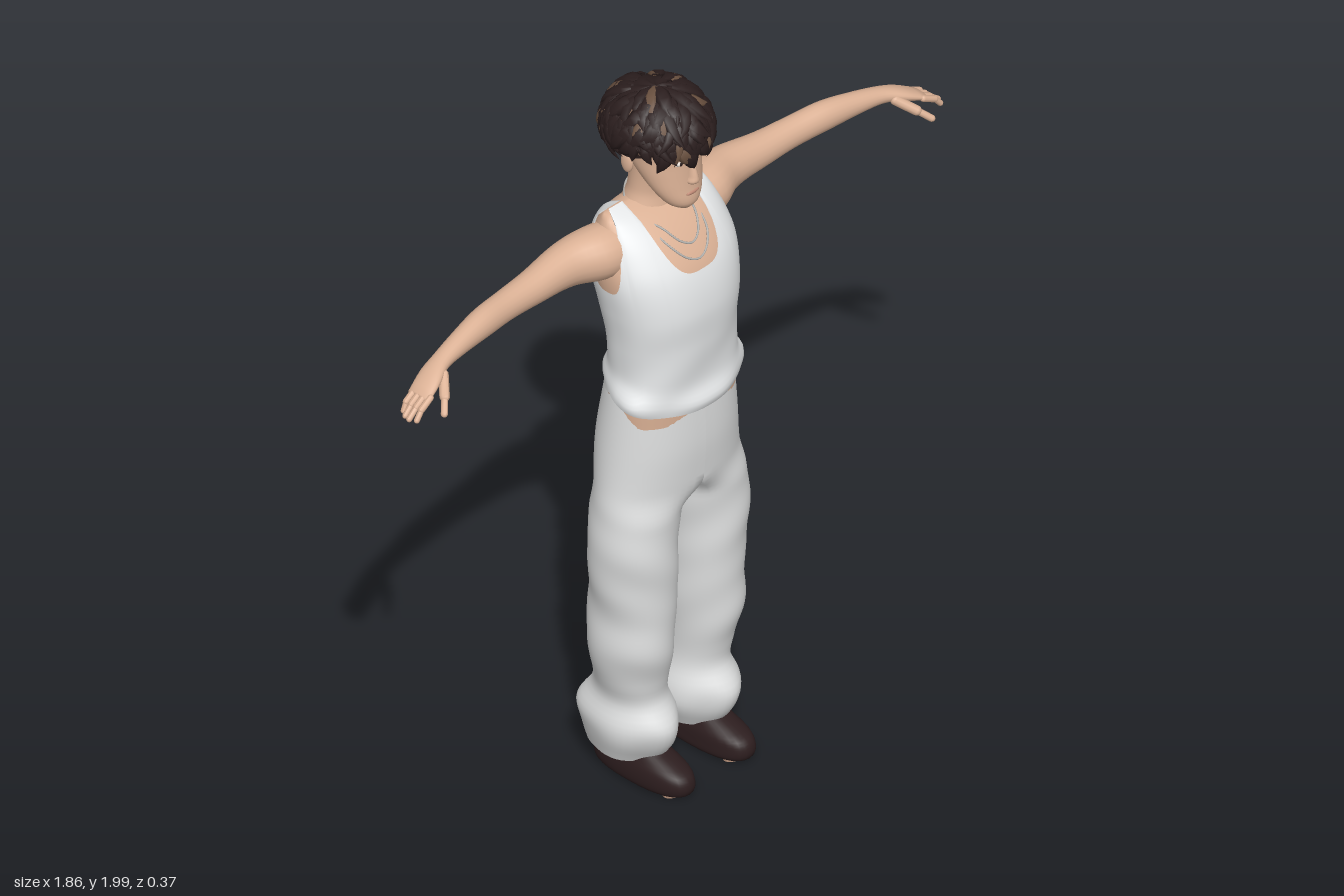
import * as THREE from 'three';
import { mergeGeometries } from 'three/addons/utils/BufferGeometryUtils.js';

const mat = (name, color, side = THREE.FrontSide) =>
  Object.assign(new THREE.MeshStandardMaterial({ color, side }), { name });
const { sin, cos, PI, abs, sign, exp, min, max } = Math;
const { smoothstep, lerp } = THREE.MathUtils;
const V = (x, y, z) => new THREE.Vector3(x, y, z);
const range = (n, f) => Array.from({ length: n }, (_, i) => f(i));

// Smoothly interpolated row of a table whose first column is the position
function at(rows, v) {
  let i = 0;
  while (i < rows.length - 2 && rows[i + 1][0] < v) i++;
  const a = rows[i], b = rows[i + 1], h = b[0] - a[0];
  const t = min(1, max(0, (v - a[0]) / h));
  const slope = (j, c) => {
    const p = rows[max(0, j - 1)], q = rows[min(rows.length - 1, j + 1)];
    return (q[c] - p[c]) / (q[0] - p[0]) * h;
  };
  return a.slice(1).map((_, k) => {
    const c = k + 1, t2 = t * t, t3 = t2 * t;
    return a[c] * (2 * t3 - 3 * t2 + 1) + b[c] * (3 * t2 - 2 * t3) +
      slope(i, c) * (t3 - 2 * t2 + t) + slope(i + 1, c) * (t3 - t2);
  });
}

// Skin closed rings of points, listed in ascending order
function loft(rings, { bottom = false, top = false, skip = () => false } = {}) {
  const flat = r => {
    const c = r.reduce((s, p) => s.add(p), V(0, 0, 0)).divideScalar(r.length);
    return r.map(() => c);
  };
  if (bottom) rings = [flat(rings[0]), ...rings];
  if (top) rings = [...rings, flat(rings[rings.length - 1])];
  const n = rings[0].length, index = [];
  for (let i = 0; i < rings.length - 1; i++) for (let j = 0; j < n; j++) {
    if (skip(i, j)) continue;
    const k = (j + 1) % n, a = i * n + j, b = i * n + k, c = a + n, d = b + n;
    index.push(a, c, b, b, c, d);
  }
  const g = new THREE.BufferGeometry().setFromPoints(rings.flat());
  g.setIndex(index);
  g.computeVertexNormals();
  return g;
}

const pw = (c, e) => sign(c) * abs(c) ** e;
// Upright form from rows of [y, xMin, xMax, zBack, zFront]
function column(rows, { steps = 24, sides = 32, e = 1, ...caps } = {}) {
  const y0 = rows[0][0], y1 = rows[rows.length - 1][0];
  return loft(range(steps + 1, i => {
    const y = lerp(y0, y1, i / steps), [xa, xb, zb, zf] = at(rows, y);
    return range(sides, j => {
      const t = j / sides * 2 * PI;
      return V((xa + xb) / 2 + (xb - xa) / 2 * pw(cos(t), e), y, (zb + zf) / 2 + (zf - zb) / 2 * pw(sin(t), e));
    });
  }), caps);
}
const sym = rows => rows.map(([y, r, zb, zf]) => [y, -r, r, zb, zf]);
const bare = g => { g.deleteAttribute('uv'); return g; };
function mirror(g) {
  const m = g.clone().scale(-1, 1, 1), ix = m.index.array;
  for (let i = 0; i < ix.length; i += 3) [ix[i], ix[i + 1]] = [ix[i + 1], ix[i]];
  m.computeVertexNormals();
  return m;
}
const blob = (x, y, z, a, b, c) => bare(new THREE.SphereGeometry(1, 14, 10).scale(a, b, c).translate(x, y, z));
function rod(a, b, r) {
  const d = b.clone().sub(a), g = bare(new THREE.CapsuleGeometry(r, d.length(), 4, 10));
  g.applyQuaternion(new THREE.Quaternion().setFromUnitVectors(V(0, 1, 0), d.normalize()));
  return g.translate((a.x + b.x) / 2, (a.y + b.y) / 2, (a.z + b.z) / 2);
}

// Torso surface: [y, half width, back, front]
const TORSO = [[1.08, .188, -.09, .138], [1.14, .19, -.094, .141], [1.2, .177, -.095, .141], [1.3, .178, -.108, .146],
  [1.4, .19, -.13, .15], [1.5, .2, -.152, .128], [1.57, .19, -.15, .085], [1.62, .176, -.13, .035],
  [1.65, .165, -.095, -.015], [1.662, .158, -.063, -.057]];
function torsoPoint(t, y, off) {
  const [r, zb, zf] = at(TORSO, y);
  return V((r + off) * pw(cos(t), .85), y, (zb + zf) / 2 + ((zf - zb) / 2 + off) * pw(sin(t), .9));
}

function shirtGeometry() {
  const N = 144, M = 36;
  return loft(range(M + 1, i => range(N, j => {
    const t = j / N * 2 * PI, s = sin(t), side = Math.asin(min(1, abs(s))), mid = PI / 2 - side;
    const hem = 1.145 - .035 * s;
    // Neck scoop, strap and armhole set the top edge
    const neck = s > 0 ? 1.505 + .157 * (mid / .56) ** 3 : 1.53 + .132 * (mid / .56) ** 5;
    const arm = 1.47 + .192 * (side / .5) ** 3;
    const y = lerp(hem, min(1.662, neck, arm), i / M);
    const flare = (.011 + .005 * sin(5 * t)) * exp(-(((y - hem - .02) / .028) ** 2));
    return torsoPoint(t, y, flare + .002 * sin(4 * t + y * 30) * smoothstep(1.4 - y, 0, .2));
  })));
}

// One trouser leg with its half of the hips
const LEG = [[.07, .03, .185, -.135, .075], [.13, .005, .205, -.15, .112], [.18, .008, .208, -.163, .122],
  [.24, .025, .19, -.122, .086], [.3, .03, .2, -.11, .092], [.4, .022, .224, -.11, .112], [.5, .018, .218, -.115, .115],
  [.6, .015, .228, -.105, .118], [.7, .012, .236, -.1, .12], [.8, .004, .225, -.107, .12], [.9, 0, .211, -.127, .13],
  [1, 0, .2, -.132, .136], [1.15, 0, .184, -.11, .13]];
function legGeometry() {
  const M = 72, A = 31, N = 44, yAt = i => lerp(.07, 1.15, i / M);
  return loft(range(M + 1, i => {
    const y = yAt(i), [xa, xb, zb, zf] = at(LEG, y), w = smoothstep(y, .79, .88);
    const cx = (xa + xb) / 2, cz = (zb + zf) / 2, rx = (xb - xa) / 2, rz = (zf - zb) / 2;
    return range(N, j => {
      const outer = j <= A, k = outer ? j / A : (j - A) / (N - A);
      const t = outer ? lerp(-2.2, 2.2, k) : lerp(2.2, 2 * PI - 2.2, k), p = lerp(-PI / 2, PI / 2, k);
      const f = 1 + .014 * sin(3 * t + y * 24) + .01 * sin(y * 45 + 2 * t) + .03 * sin(5 * t) * (1 - smoothstep(y, .12, .26));
      const x = max(.002, cx + rx * f * cos(t)), z = cz + rz * f * sin(t);
      const dx = outer ? xb * pw(max(0, cos(p)), .85) : 0, dz = outer ? cz + rz * sin(p) : lerp(zf, zb, k);
      return V(lerp(x, dx, w), y, lerp(z, dz, w));
    });
  }), { skip: (i, j) => j >= A && yAt(i) > .87 });
}

// Arm rows: [x, centre y, centre z, half height, half depth]
const ARM = [[.12, 1.555, -.045, .07, .07], [.2, 1.56, -.055, .068, .073], [.28, 1.56, -.073, .058, .055],
  [.4, 1.557, -.068, .045, .043], [.5, 1.56, -.06, .04, .037], [.6, 1.565, -.045, .039, .035], [.7, 1.56, -.03, .029, .029],
  [.77, 1.552, -.018, .021, .027], [.82, 1.538, -.004, .018, .035], [.875, 1.515, .01, .011, .035]];
function armGeometry() {
  const arm = loft(range(41, i => {
    const x = lerp(.12, .875, i / 40), [y, z, ry, rz] = at(ARM, x);
    return range(20, j => V(x, y + ry * cos(j / 10 * PI), z - rz * sin(j / 10 * PI)));
  }), { top: true });
  const fingers = range(4, i => {
    const z = -.014 + i * .017, tip = [.908, .92, .924, .915][i];
    const a = V(.862, 1.52, z), b = V(.897, 1.503, z + .004), c = V(tip, 1.482, z + .006);
    return [rod(a, b, .0088), rod(b, c, .0075)];
  }).flat();
  const thumb = [rod(V(.79, 1.54, .012), V(.825, 1.51, .05), .013), rod(V(.825, 1.51, .05), V(.852, 1.485, .075), .009)];
  return mergeGeometries([arm, ...fingers, ...thumb]);
}

// Hair: a cap over the skull and curved, tapering locks
const hairPoint = (a, p, r) => V(-.005 + .12 * r * sin(p) * cos(a), 1.866 + .11 * r * cos(p), -.027 + .138 * r * sin(p) * sin(a));
const hairEdge = a => sin(a) > 0 ? lerp(1.95, 1.55, sin(a)) : lerp(1.95, 2.5, -sin(a));
function hairGeometries() {
  let seed = 11;
  const rnd = () => (seed = (seed * 16807) % 2147483647) / 2147483647;
  const cap = loft(range(15, i => range(40, j => {
    const a = j / 20 * PI;
    return hairPoint(a, hairEdge(a) * (1 - i / 14), 1 + .02 * sin(7 * a + i));
  })));
  const lock = n => {
    const a = n * 2.39996, front = max(0, sin(a)), edge = hairEdge(a);
    const end = edge * lerp(.5, 1, rnd()) + rnd() * (.18 + .55 * front), len = .5 + .5 * rnd();
    const curl = (rnd() - .5) * .9, lift = .02 + .1 * rnd() * rnd() + .12 * front * rnd(), w = .012 + .012 * rnd();
    const pts = range(6, k => {
      const t = k / 5;
      return hairPoint(a + curl * t * t, max(.03, end - len * (1 - t)), 1.01 + .04 * sin(t * PI) + lift * t * t);
    });
    return loft(pts.map((c, k) => {
      const dir = pts[min(5, k + 1)].clone().sub(pts[max(0, k - 1)]).normalize();
      const out = c.clone().sub(V(0, 1.866, -.027)).normalize(), across = dir.clone().cross(out).normalize();
      const s = w * [.5, .95, 1, .85, .5, .04][k];
      return range(6, j => c.clone().addScaledVector(across, s * cos(j * PI / 3)).addScaledVector(out, .45 * s * sin(j * PI / 3)));
    }));
  };
  const locks = range(230, lock);
  return [mergeGeometries([cap, ...locks.filter((_, i) => i % 9)]), mergeGeometries(locks.filter((_, i) => i % 9 === 0))];
}

export function createModel() {
  const group = new THREE.Group(), D = THREE.DoubleSide;
  const skin = mat('skin', 0xdcb296), cloth = mat('shirt white', 0xe9ebec, D), trouser = mat('trouser grey', 0xdcdddd, D);
  const dark = mat('hair dark', 0x2b1e1e, D), brown = mat('hair brown', 0x69503f, D), leather = mat('shoe brown', 0x2c1d1e);
  const metal = mat('chain grey', 0xb4b2ae), white = mat('eye white', 0xe4ddd6), lip = mat('lip', 0xc08a76), tan = mat('sole tan', 0xb08c76);
  const add = (name, g, m) => {
    const mesh = new THREE.Mesh(g, m);
    mesh.name = name;
    group.add(mesh);
  };
  const pair = (name, g, m) => { add(name + 'Left', g, m); add(name + 'Right', mirror(g), m); };

  // Body
  add('torso', loft(range(41, i => range(64, j => torsoPoint(j / 32 * PI, lerp(1.08, 1.655, i / 40), -.007))), { top: true }), skin);
  add('neck', column(sym([[1.58, .1, -.13, .02], [1.635, .076, -.118, .004], [1.68, .06, -.105, -.002], [1.79, .057, -.1, .02]])), skin);
  pair('arm', armGeometry(), skin);

  // Clothes
  add('tankTop', shirtGeometry(), cloth);
  pair('trouserLeg', legGeometry(), trouser);
  pair('shoe', column([[.004, .052, .158, -.115, .17], [.012, .045, .165, -.123, .182], [.035, .045, .167, -.125, .186],
    [.06, .048, .163, -.12, .172], [.08, .055, .155, -.115, .13], [.1, .06, .15, -.11, .08], [.15, .065, .145, -.1, .03]],
  { e: .85, bottom: true, top: true }), leather);
  pair('toePatch', bare(new THREE.CylinderGeometry(.04, .04, .006, 20).scale(1, 1, .6).translate(.105, .003, .135)), tan);

  // Head
  add('head', column(sym([[1.664, .018, .04, .078], [1.68, .042, .015, .092], [1.7, .058, -.005, .095], [1.73, .073, -.035, .092],
    [1.77, .084, -.08, .09], [1.81, .09, -.12, .09], [1.85, .094, -.14, .094], [1.9, .094, -.14, .085],
    [1.94, .075, -.11, .06], [1.96, .03, -.06, .01]]), { steps: 36, bottom: true, top: true }), skin);
  add('nose', column(sym([[1.74, .007, .07, .094], [1.75, .017, .07, .107], [1.765, .013, .07, .107], [1.8, .008, .07, .097],
    [1.825, .006, .07, .092]]), { sides: 14, bottom: true, top: true }), skin);
  pair('ear', blob(.094, 1.79, -.04, .01, .031, .019).rotateX(.0), skin);
  pair('eye', blob(.034, 1.812, .08, .015, .0065, .006), white);
  pair('iris', blob(.034, 1.812, .0845, .006, .006, .0025), dark);
  pair('eyebrow', rod(V(.017, 1.833, .089), V(.052, 1.837, .076), .0035), dark);
  add('mouth', blob(0, 1.717, .091, .022, .006, .005), lip);
  const [hair, streaks] = hairGeometries();
  add('hair', hair, dark);
  add('hairStreaks', streaks, brown);

  // Neck chains resting on the chest
  for (const [name, low, wide] of [['longChain', 1.53, .074], ['shortChain', 1.565, .066]]) {
    const chest = (x, y) => {
      const [r, zb, zf] = at(TORSO, y);
      return V(x, y, (zb + zf) / 2 + (zf - zb) / 2 * (1 - (x / r) ** 2) ** .5 + .002);
    };
    const half = [chest(wide * .45, low + .012), chest(wide * .85, low + .045), V(wide + .006, 1.625, -.01), V(wide + .004, 1.648, -.06)];
    const flip = half.map(p => V(-p.x, p.y, p.z)).reverse();
    const curve = new THREE.CatmullRomCurve3([chest(0, low), ...half, V(0, 1.662, -.118), ...flip], true);
    add(name, new THREE.TubeGeometry(curve, 80, .0028, 6, true), metal);
  }
  return group;
}
